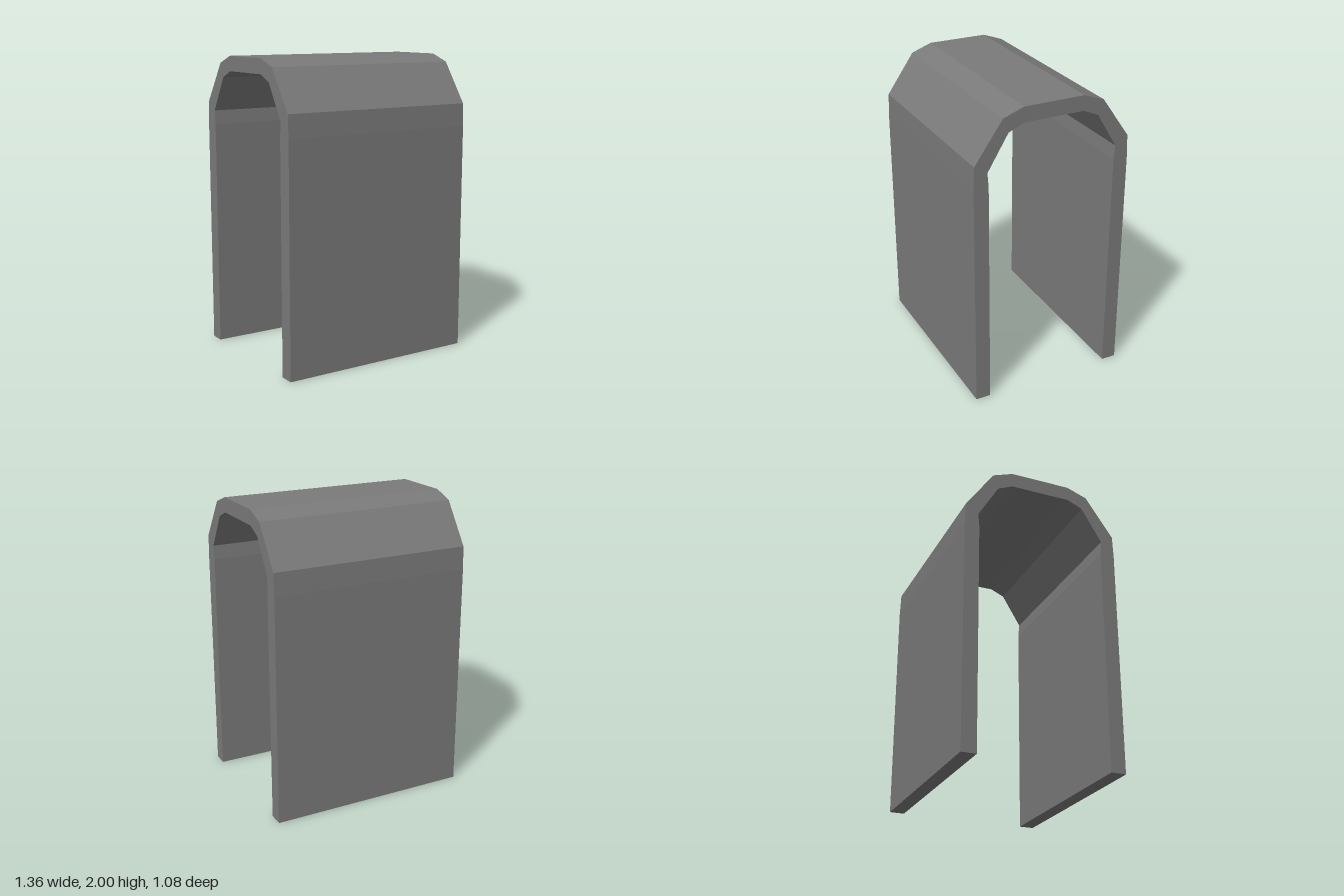
import * as THREE from 'three';

export function createModel() {
  const group = new THREE.Group();
  group.name = 'archTunnel';
  const width = 1.36;

  // Cross-section of one half as [z, y]: up the outer face to the crown, back down the inner face
  const outline = [
    [0.538, 0], [0.538, 1.53], [0.532, 1.68], [0.343, 1.95], [0.205, 2], [0, 2],
    [0, 1.9], [0.205, 1.9], [0.307, 1.855], [0.446, 1.625], [0.438, 1.53], [0.438, 0],
  ];
  const shape = new THREE.Shape(outline.map(([z, y]) => new THREE.Vector2(z, y)));

  // Sweep the outline along x, centred
  const geometry = new THREE.ExtrudeGeometry(shape, { depth: width, bevelEnabled: false });
  geometry.translate(0, 0, -width / 2);
  geometry.rotateY(-Math.PI / 2);
  const material = new THREE.MeshStandardMaterial({ color: 0x7a7a7a, flatShading: true });

  // Two matching halves meet in a seam along the crown
  ['frontHalf', 'backHalf'].forEach((name, i) => {
    const half = new THREE.Mesh(geometry, material);
    half.name = name;
    half.rotation.y = i * Math.PI;
    group.add(half);
  });
  return group;
}
